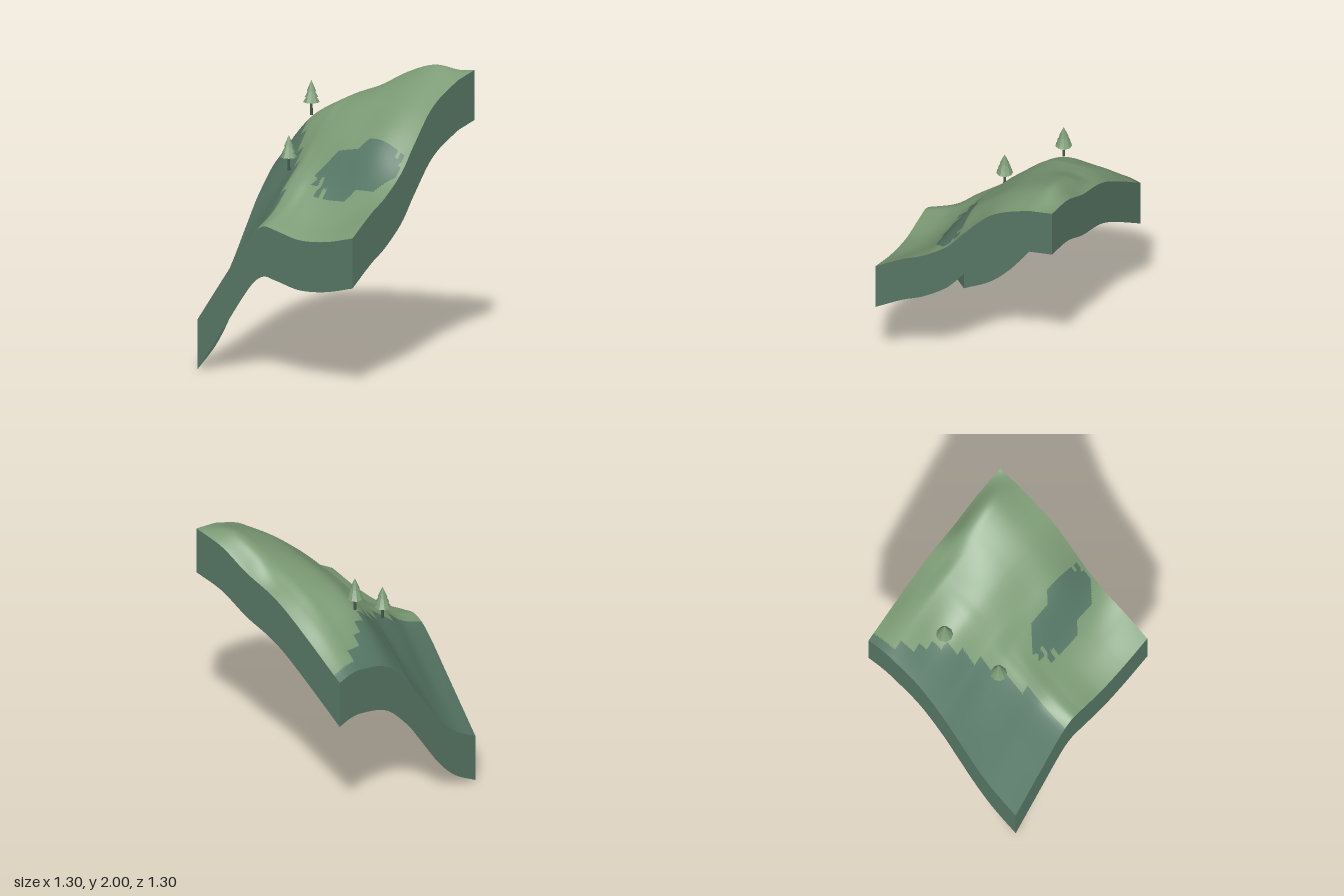
import * as THREE from 'three';

const HALF = 0.65, CELLS = 120, SKIRT = 0.34;

// Control heights: one row per depth, one column per x
const XS = [-0.65, -0.4, -0.2, -0.1, 0, 0.2, 0.42, 0.65];
const ZS = [-0.65, -0.55, -0.45, -0.2, 0, 0.12, 0.3, 0.45, 0.65];
const H = [
  [1.335, 1.52, 1.66, 1.72, 1.765, 1.83, 1.935, 1.98],
  [1.355, 1.57, 1.70, 1.75, 1.795, 1.92, 2.0, 1.96],
  [1.35, 1.585, 1.725, 1.77, 1.81, 1.91, 1.97, 1.935],
  [1.26, 1.56, 1.68, 1.71, 1.74, 1.79, 1.83, 1.81],
  [1.06, 1.33, 1.50, 1.55, 1.58, 1.62, 1.66, 1.59],
  [0.89, 1.17, 1.38, 1.42, 1.45, 1.505, 1.53, 1.44],
  [0.63, 0.98, 1.23, 1.265, 1.25, 1.245, 1.27, 1.30],
  [0.47, 0.82, 1.09, 1.14, 1.13, 1.11, 1.14, 1.22],
  [0.34, 0.70, 0.98, 1.055, 1.045, 1.01, 1.03, 1.09],
];

// Smooth curve through unevenly spaced knots
function spline(t, ks, vs) {
  const last = ks.length - 1;
  let i = 0;
  while (i < last - 1 && t > ks[i + 1]) i++;
  const slope = (j) => {
    const a = Math.max(j - 1, 0), b = Math.min(j + 1, last);
    return (vs[b] - vs[a]) / (ks[b] - ks[a]);
  };
  const d = ks[i + 1] - ks[i], u = (t - ks[i]) / d, u2 = u * u, u3 = u2 * u;
  return (2 * u3 - 3 * u2 + 1) * vs[i] + (u3 - 2 * u2 + u) * d * slope(i)
    + (3 * u2 - 2 * u3) * vs[i + 1] + (u3 - u2) * d * slope(i + 1);
}
const height = (x, z) => spline(z, ZS, H.map((row) => spline(x, XS, row)));

// Stepped border of the steep slope: [z limit, x border]
const STEPS = [[-0.46, -0.6], [-0.35, -0.545], [-0.28, -0.49], [-0.2, -0.435], [-0.11, -0.38],
  [0, -0.33], [0.11, -0.27], [0.32, -0.22], [1, -0.165]];
// Outline of the rocky patch, with ragged ends
const PATCH = [[0, 0.22], [0.11, 0.107], [0.27, 0.107], [0.325, 0.053], [0.56, 0.053], [0.56, 0.085],
  [0.585, 0.085], [0.585, 0.053], [0.62, 0.053], [0.62, 0.085], [0.6, 0.11], [0.63, 0.11], [0.63, 0.165],
  [0.53, 0.268], [0.38, 0.268], [0.325, 0.322], [0.14, 0.322], [0.14, 0.275], [0.11, 0.275],
  [0.11, 0.322], [0.065, 0.322], [0.065, 0.29], [0.09, 0.27], [0.09, 0.225], [0.06, 0.225],
  [0.06, 0.27], [0.0, 0.27], [0.03, 0.24]];

function isRock(x, z) {
  if (x < STEPS.find((s) => z < s[0])[1]) return true;
  let inside = false;
  PATCH.forEach(([ax, az], i) => {
    const [bx, bz] = PATCH[(i + 1) % PATCH.length];
    if ((az > z) !== (bz > z) && x < ax + ((z - az) / (bz - az)) * (bx - ax)) inside = !inside;
  });
  return inside;
}

// Geometry from a position list and one index list per material
function meshFrom(name, pos, lists, materials) {
  const g = new THREE.BufferGeometry();
  g.setAttribute('position', new THREE.Float32BufferAttribute(pos, 3));
  g.setIndex(lists.flat());
  let start = 0;
  lists.forEach((l, i) => { g.addGroup(start, l.length, i); start += l.length; });
  g.computeVertexNormals();
  const m = new THREE.Mesh(g, materials);
  m.name = name;
  return m;
}

const at = (i) => -HALF + (2 * HALF * i) / CELLS;

function makeGround(grass, rock) {
  const pos = [], lists = [[], []], n = CELLS + 1;
  for (let j = 0; j < n; j++) for (let i = 0; i < n; i++) pos.push(at(i), height(at(i), at(j)), at(j));
  for (let j = 0; j < CELLS; j++) for (let i = 0; i < CELLS; i++) {
    const a = j * n + i, b = a + 1, c = a + n, d = c + 1;
    // triangles split along the patch diagonals
    lists[isRock(at(i + 0.33), at(j + 0.33)) ? 1 : 0].push(a, c, b);
    lists[isRock(at(i + 0.67), at(j + 0.67)) ? 1 : 0].push(b, c, d);
  }
  return meshFrom('ground', pos, lists, [grass, rock]);
}

// Wall hanging from one edge; place maps 0..CELLS to [x, z]
function makeWall(name, place, rock) {
  const pos = [], list = [];
  for (let i = 0; i <= CELLS; i++) {
    const [x, z] = place(i), y = height(x, z);
    pos.push(x, y, z, x, y - SKIRT, z);
    if (i < CELLS) { const a = 2 * i; list.push(a, a + 1, a + 2, a + 2, a + 1, a + 3); }
  }
  return meshFrom(name, pos, [list], [rock]);
}

function makeTree(x, y, z, foliage, bark) {
  const tree = new THREE.Group();
  tree.name = 'pineTree';
  const trunk = new THREE.Mesh(new THREE.CylinderGeometry(0.008, 0.01, 0.11, 8), bark);
  trunk.name = 'trunk';
  trunk.position.y = 0.055;
  tree.add(trunk);
  // three stacked tiers: [radius, height, base]
  [[0.056, 0.09, 0.09], [0.045, 0.08, 0.125], [0.032, 0.075, 0.163]].forEach(([r, h, b]) => {
    const tier = new THREE.Mesh(new THREE.ConeGeometry(r, h, 9), foliage);
    tier.name = 'foliageTier';
    tier.position.y = b + h / 2;
    tree.add(tier);
  });
  tree.position.set(x, y, z);
  return tree;
}

export function createModel() {
  const mat = (name, color, extra) => {
    const m = new THREE.MeshStandardMaterial({ color, ...extra });
    m.name = name;
    return m;
  };
  const open = { side: THREE.DoubleSide };
  const grass = mat('grass', 0x7d9c76, open);
  const rock = mat('rock', 0x577866, open);
  const foliage = mat('foliage', 0x7a9a74, { flatShading: true });
  const bark = mat('bark', 0x46584a);

  const model = new THREE.Group();
  model.name = 'hillside';
  model.add(makeGround(grass, rock));
  model.add(makeWall('frontWall', (i) => [at(i), HALF], rock));
  model.add(makeWall('backWall', (i) => [-at(i), -HALF], rock));
  model.add(makeWall('leftWall', (i) => [HALF, -at(i)], rock));
  model.add(makeWall('rightWall', (i) => [-HALF, at(i)], rock));
  model.add(makeTree(-0.38, 1.6, -0.22, foliage, bark));
  model.add(makeTree(-0.27, 1.317, 0.16, foliage, bark));
  return model;
}
